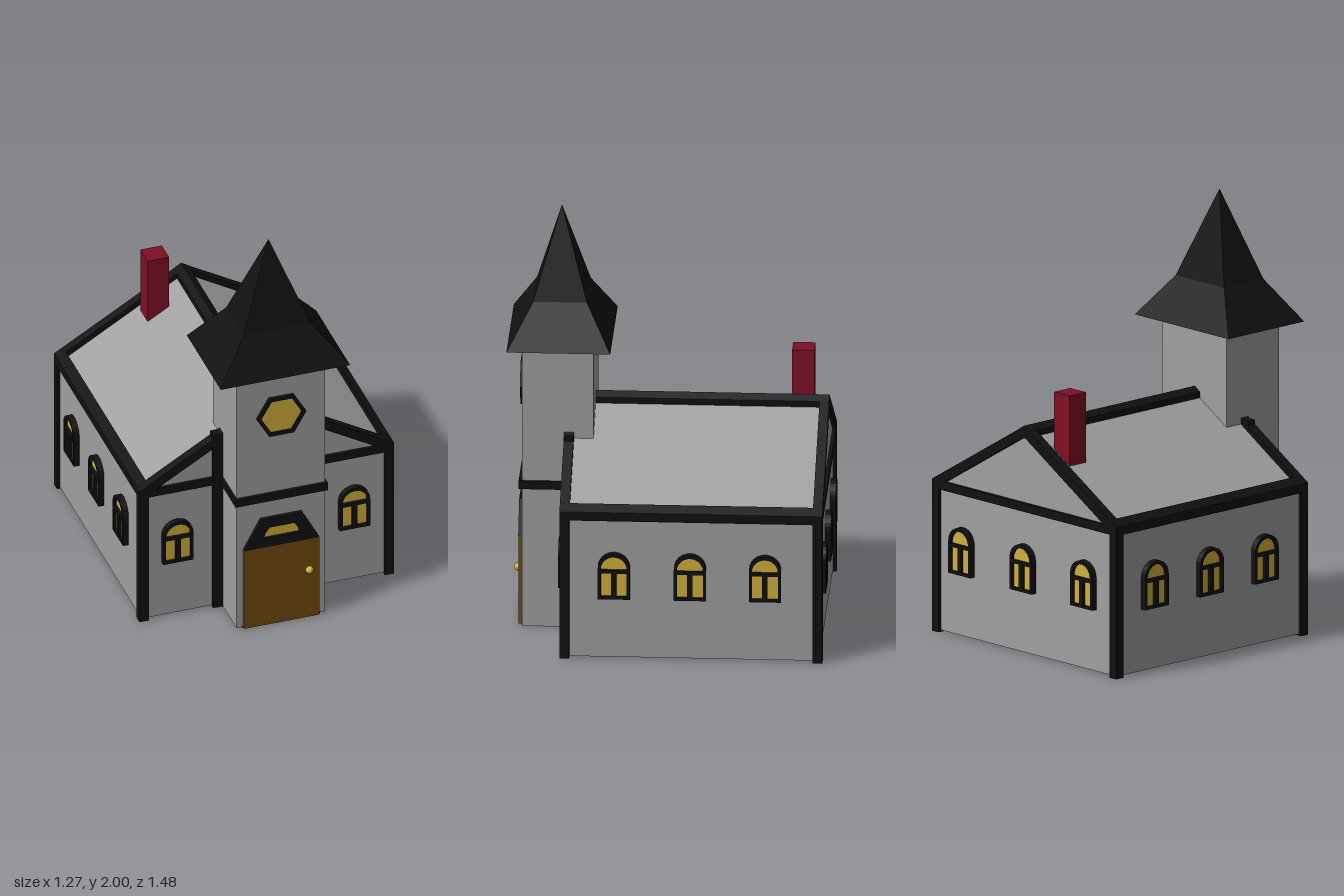
import * as THREE from 'three';

const mat = (name, color) => Object.assign(new THREE.MeshStandardMaterial({ color }), { name });
const V = (pts) => new THREE.Shape(pts.map(([x, y]) => new THREE.Vector2(x, y)));

export function createModel() {
  const grey = mat('stone grey', 0xa0a0a0);
  const black = mat('timber black', 0x111111);
  const yellow = mat('glass yellow', 0xd2b03a);
  const brown = mat('door brown', 0x744a10);
  const red = mat('brick red', 0x800f26);
  const model = new THREE.Group();
  model.name = 'chapel';

  const add = (name, geo, material, parent = model) => {
    const m = new THREE.Mesh(geo, material);
    m.name = name;
    parent.add(m);
    return m;
  };
  // Box given by its limits on each axis
  const box = (name, material, [x0, x1], [y0, y1], [z0, z1], parent) => {
    const g = new THREE.BoxGeometry(x1 - x0, y1 - y0, z1 - z0);
    g.translate((x0 + x1) / 2, (y0 + y1) / 2, (z0 + z1) / 2);
    return add(name, g, material, parent);
  };
  // Outline in x and y, extruded from z0 to z1
  const slab = (name, material, shape, z0, z1, parent) => {
    const g = new THREE.ExtrudeGeometry(shape, { depth: z1 - z0, bevelEnabled: false, curveSegments: 6 });
    g.translate(0, 0, z0);
    return add(name, g, material, parent);
  };
  const mirror = (pts, s) => pts.map(([x, y]) => [x * s, y]);

  // Nave with gabled roof
  slab('nave', grey, V([[-0.605, 0.008], [0.605, 0.008], [0.605, 0.7], [0, 1.06], [-0.605, 0.7]]), -0.715, 0.465);

  // Timber frame
  const front = [0.435, 0.48], back = [-0.732, -0.687];
  const roofY = (x) => 1.088 - 0.59 * x;
  for (const s of [-1, 1]) {
    const span = (a, b) => (s > 0 ? [a, b] : [-b, -a]);
    for (const z of [front, back]) {
      box('cornerPost', black, span(0.575, 0.62), [0, 0.72], z);
      const inner = z === front ? 0.2 : 0;
      slab('rakeBeam', black, V(mirror([
        [0.62, roofY(0.62)], [inner, roofY(inner)], [inner, roofY(inner) - 0.052], [0.62, roofY(0.62) - 0.052],
      ], s)), ...z);
    }
    box('towerSidePost', black, span(0.215, 0.262), [0, 0.955], front);
    slab('eaveBeam', black, V(mirror([
      [0.575, 0.68], [0.62, 0.68], [0.62, roofY(0.62)], [0.575, roofY(0.575)],
    ], s)), back[0], front[1]);
    box('frontBeam', black, span(0.2, 0.62), [0.68, 0.72], front);
  }
  box('backBeam', black, [-0.62, 0.62], [0.68, 0.72], back);
  slab('ridgeBeam', black, V([
    [-0.035, 1.03], [0.035, 1.03], [0.035, 1.068], [0, 1.09], [-0.035, 1.068],
  ]), -0.732, 0.36);

  // Tower with timber band
  box('tower', grey, [-0.215, 0.215], [0.003, 1.39], [0.345, 0.675]);
  box('towerBand', black, [-0.225, 0.225], [0.68, 0.72], [0.44, 0.69]);

  // Two-stage spire on a rectangular plan
  const spire = new THREE.Group();
  spire.name = 'spire';
  spire.position.set(0, 0, 0.502);
  model.add(spire);
  const stage = (name, top, bottom, y0, y1) => {
    let g = new THREE.CylinderGeometry(top * Math.SQRT2, bottom * Math.SQRT2, y1 - y0, 4);
    g.rotateY(Math.PI / 4);
    g.scale(1, 1, 0.76);
    g.translate(0, (y0 + y1) / 2, 0);
    g = g.toNonIndexed();
    g.computeVertexNormals();
    add(name, g, black, spire);
  };
  stage('spireSkirt', 0.163, 0.315, 1.385, 1.58);
  stage('spirePeak', 0, 0.163, 1.58, 2);

  // Chimney
  box('chimney', red, [-0.225, -0.12], [0.88, 1.26], [-0.655, -0.552]);

  // Arched window: frame with three openings over a glass plate
  const arch = (r, y0, y1, C) => {
    const s = new C();
    s.moveTo(-r, y0);
    s.lineTo(r, y0);
    s.lineTo(r, y1);
    s.absarc(0, y1, r, 0, Math.PI, false);
    s.closePath();
    return s;
  };
  const windowAt = (x, z, turn) => {
    const g = new THREE.Group();
    g.name = 'archedWindow';
    const frame = arch(0.074, 0.3, 0.45, THREE.Shape);
    frame.holes.push(arch(0.06, 0.443, 0.447, THREE.Path));
    for (const s of [-1, 1]) {
      frame.holes.push(new THREE.Path(mirror([
        [0.012, 0.313], [0.06, 0.313], [0.06, 0.427], [0.012, 0.427],
      ], s).map(([a, b]) => new THREE.Vector2(a, b))));
    }
    slab('windowFrame', black, frame, -0.005, 0.028, g);
    slab('windowGlass', yellow, arch(0.066, 0.305, 0.445, THREE.Shape), 0.006, 0.013, g);
    g.position.set(x, 0, z);
    g.rotation.y = turn;
    model.add(g);
  };
  for (const x of [-0.435, 0.425]) windowAt(x, 0.465, 0);
  for (const x of [-0.395, 0.012, 0.425]) windowAt(x, -0.715, Math.PI);
  for (const z of [-0.468, -0.122, 0.229]) windowAt(0.605, z, Math.PI / 2);
  for (const z of [-0.486, -0.137, 0.209]) windowAt(-0.605, z, -Math.PI / 2);

  // Hexagonal tower window
  const hexagon = (r) => Array.from({ length: 6 }, (_, i) => new THREE.Vector2(
    r * Math.cos(i * Math.PI / 3), 1.14 + r * Math.sin(i * Math.PI / 3)));
  const hexFrame = new THREE.Shape(hexagon(0.12));
  hexFrame.holes.push(new THREE.Path(hexagon(0.099)));
  slab('hexagonFrame', black, hexFrame, 0.67, 0.69);
  slab('hexagonGlass', yellow, new THREE.Shape(hexagon(0.11)), 0.672, 0.68);

  // Door with knob, threshold and fanlight
  box('door', brown, [-0.183, 0.183], [0.002, 0.432], [0.66, 0.692]);
  box('threshold', black, [-0.19, 0.19], [0, 0.006], [0.6, 0.678]);
  const knob = new THREE.SphereGeometry(0.019, 16, 12);
  knob.translate(0.133, 0.263, 0.697);
  add('doorKnob', knob, yellow);
  const lintel = V([[-0.183, 0.432], [0.183, 0.432], [0.1, 0.587], [-0.1, 0.587]]);
  const light = [[-0.088, 0.482], [0.088, 0.482], [0.08, 0.51], [0.06, 0.537], [-0.06, 0.537], [-0.08, 0.51]];
  lintel.holes.push(new THREE.Path(light.map(([x, y]) => new THREE.Vector2(x, y))));
  slab('doorLintel', black, lintel, 0.67, 0.694);
  slab('fanlightGlass', yellow, V(mirror(light, 1.05)), 0.674, 0.682);

  return model;
}
